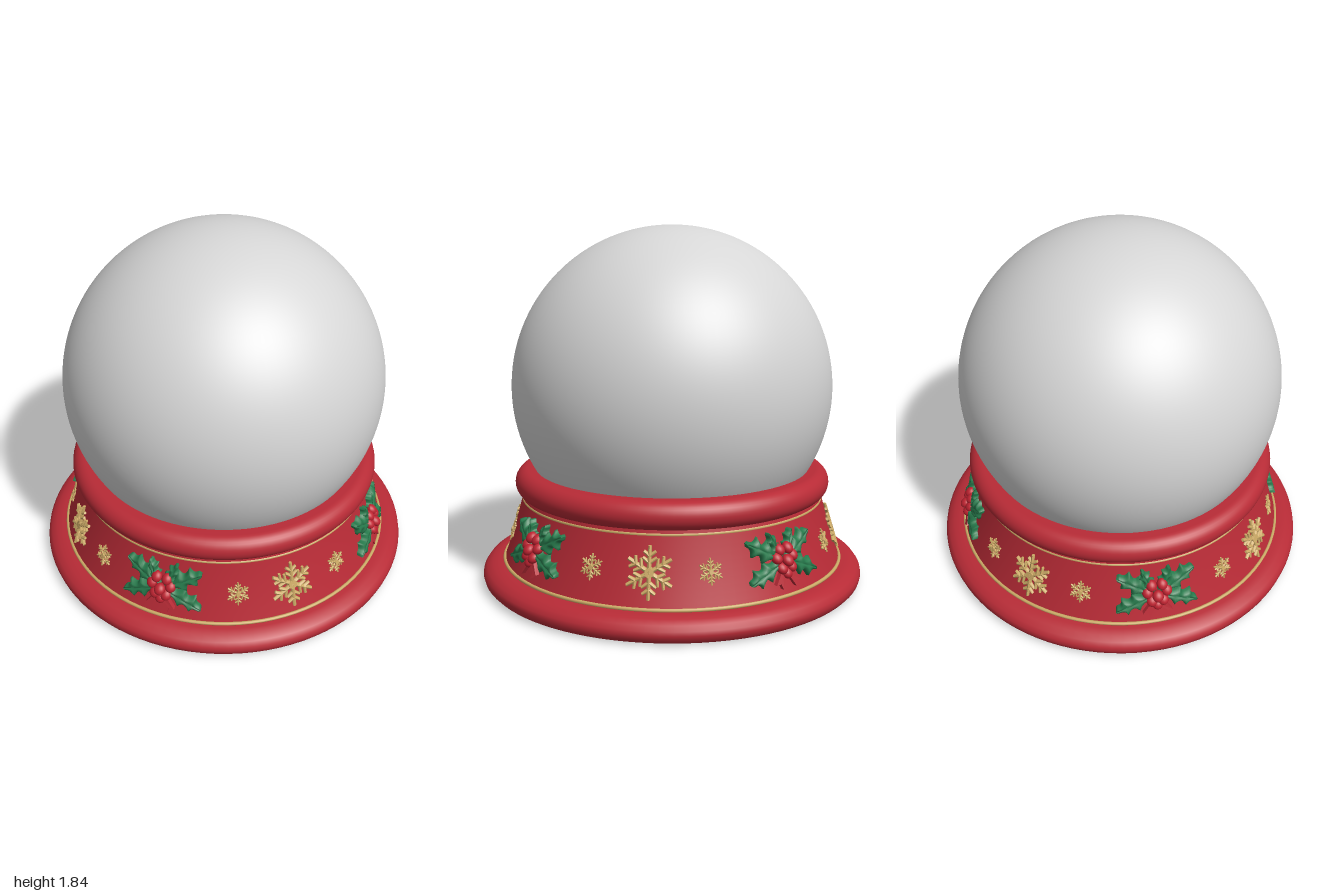
import * as THREE from 'three';
import { mergeGeometries } from 'three/addons/utils/BufferGeometryUtils.js';

const paint = (name, color) => new THREE.MeshStandardMaterial({ name, color });

// Radius of the tapered, slightly hollow base wall at height y
function wallRadius(y) {
  const t = (y - 0.12) / 0.32;
  return 0.886 - 0.098 * t - 0.02 * t * (1 - t);
}

// Wraps a flat piece (x along the wall, y up, z outward) onto the base wall
function wrap(geometry, angle, centreY) {
  const p = geometry.attributes.position;
  for (let i = 0; i < p.count; i++) {
    const y = centreY + p.getY(i);
    const a = angle + p.getX(i) / wallRadius(centreY);
    const r = wallRadius(y) + p.getZ(i);
    p.setXYZ(i, r * Math.sin(a), y, r * Math.cos(a));
  }
  geometry.computeVertexNormals();
  return geometry;
}

// Spiky holly leaf with a raised body and a sunken midrib
function leaf(length, width, direction, x, y) {
  const across = [-1, -1, -0.6, -0.12, 0, 0.12, 0.6, 1, 1];
  const height = [-0.01, 0.014, 0.03, 0.03, 0.02, 0.03, 0.03, 0.014, -0.01];
  const cols = across.length;
  const rows = 24;
  const g = new THREE.PlaneGeometry(1, 1, cols - 1, rows);
  const p = g.attributes.position;
  for (let i = 0; i < p.count; i++) {
    const c = i % cols;
    const t = 1 - Math.floor(i / cols) / rows;
    const spikes = 1 - 0.55 * Math.abs(Math.sin(3 * Math.PI * t));
    const w = width * spikes * Math.pow(Math.sin(Math.PI * (0.1 + 0.9 * t)), 0.6);
    const forward = 0.35 * Math.abs(across[c]) * w * Math.sin(Math.PI * t);
    p.setXYZ(i, across[c] * w, t * length + forward, height[c]);
  }
  return g.rotateZ(direction).translate(x, y, 0);
}

// One bar of a snowflake, starting at (x, y) and leaning by the given angle
function bar(x, y, length, radius, lean) {
  return new THREE.CylinderGeometry(radius * 0.75, radius, length, 6)
    .translate(0, length / 2, 0).rotateZ(lean).translate(x, y, 0.008);
}

// Six-armed snowflake with two pairs of branches on each arm
function snowflake(size) {
  const parts = [new THREE.CylinderGeometry(size * 0.2, size * 0.24, 0.022, 6)
    .rotateX(Math.PI / 2).translate(0, 0, 0.008)];
  for (let i = 0; i < 6; i++) {
    const arm = [bar(0, 0, size, size * 0.1, 0)];
    for (const side of [-1, 1]) {
      arm.push(bar(0, size * 0.36, size * 0.34, size * 0.085, side * 0.95));
      arm.push(bar(0, size * 0.62, size * 0.3, size * 0.085, side * 0.95));
    }
    parts.push(mergeGeometries(arm).rotateZ(i * Math.PI / 3));
  }
  return mergeGeometries(parts);
}

// Notched ribbon tail hanging to one side
function ribbonTail(side) {
  const shape = new THREE.Shape([
    [-0.014, 0], [-0.02, -0.085], [0, -0.068], [0.02, -0.085], [0.014, 0],
  ].map(([x, y]) => new THREE.Vector2(x, y)));
  return new THREE.ExtrudeGeometry(shape, { depth: 0.022, bevelEnabled: false })
    .rotateZ(side * 0.6).translate(side * 0.008, -0.045, 0);
}

export function createModel() {
  const glass = paint('pale grey globe', 0xd6d6d6);
  const red = paint('base red', 0xb82b36);
  const berryRed = paint('berry red', 0xbd2230);
  const green = paint('holly green', 0x277a4c);
  const gold = paint('gold', 0xccaa66);

  const model = new THREE.Group();
  model.name = 'snowGlobe';
  const add = (parent, name, geometry, material) => {
    const mesh = new THREE.Mesh(geometry, material);
    mesh.name = name;
    parent.add(mesh);
    return mesh;
  };
  const turned = (points) =>
    new THREE.LatheGeometry(points.map(([r, y]) => new THREE.Vector2(r, y)), 96);

  // Globe
  add(model, 'globe', new THREE.SphereGeometry(0.83, 96, 64), glass).position.y = 1.005;

  // Foot and its underside
  add(model, 'foot', turned([
    [0.955, 0], [0.978, 0.008], [0.994, 0.025], [1, 0.048], [0.996, 0.068],
    [0.98, 0.09], [0.95, 0.107], [0.915, 0.115], [0.87, 0.117],
  ]), red);
  add(model, 'underside', new THREE.CircleGeometry(0.955, 96).rotateX(Math.PI / 2), red);

  // Tapered wall
  const wall = [];
  for (let i = 0; i <= 10; i++) {
    const y = 0.11 + i * 0.035;
    wall.push([wallRadius(y), y]);
  }
  add(model, 'wall', turned(wall), red);

  // Rounded collar
  const collar = [[0.68, 0.454]];
  for (let i = 0; i <= 16; i++) {
    const a = -Math.PI / 2 + i * Math.PI / 16;
    collar.push([0.757 + 0.066 * Math.cos(a), 0.522 + 0.068 * Math.sin(a)]);
  }
  collar.push([0.7, 0.59]);
  add(model, 'collar', turned(collar), red);

  // Gold trim rings
  for (const [name, r, y] of [['lowerTrim', 0.888, 0.122], ['upperTrim', 0.782, 0.438]]) {
    add(model, name, new THREE.TorusGeometry(r, 0.009, 8, 96).rotateX(Math.PI / 2), gold)
      .position.y = y;
  }

  // Leaves: length, half width, direction, start x, start y (right half)
  const leaves = [
    [0.19, 0.055, -1.1, 0.03, 0.012],
    [0.18, 0.052, -1.98, 0.035, -0.012],
    [0.13, 0.036, -0.42, 0.02, 0.01],
  ];
  const berries = [[0, 0.002, 0.048], [-0.048, 0.015, 0.03], [0.048, 0.015, 0.03],
    [-0.027, 0.05, 0.03], [0.027, 0.05, 0.03], [-0.028, -0.032, 0.03],
    [0.028, -0.032, 0.03], [0, -0.058, 0.022]];

  // Four repeats around the base wall
  for (let q = 0; q < 4; q++) {
    const angle = q * Math.PI / 2;

    const holly = new THREE.Group();
    holly.name = 'holly';
    model.add(holly);
    for (const [length, width, direction, x, y] of leaves) {
      for (const side of [-1, 1]) {
        add(holly, 'hollyLeaf',
          wrap(leaf(length, width, side * direction, side * x, y), angle, 0.285), green);
      }
    }
    for (const side of [-1, 1]) {
      add(holly, 'ribbonTail', wrap(ribbonTail(side), angle, 0.285), red);
    }
    for (const [x, y, z] of berries) {
      const berry = new THREE.SphereGeometry(0.027, 16, 12).translate(x, y, z - 0.006);
      add(holly, 'berry', wrap(berry, angle, 0.285), berryRed);
    }

    // Large snowflake between two hollies, small ones beside it
    for (const [name, turn, size] of [['smallSnowflake', 26, 0.058],
      ['largeSnowflake', 45, 0.115], ['smallSnowflake', 64, 0.058]]) {
      const a = angle + THREE.MathUtils.degToRad(turn);
      add(model, name, wrap(snowflake(size), a, 0.28), gold);
    }
  }
  return model;
}
